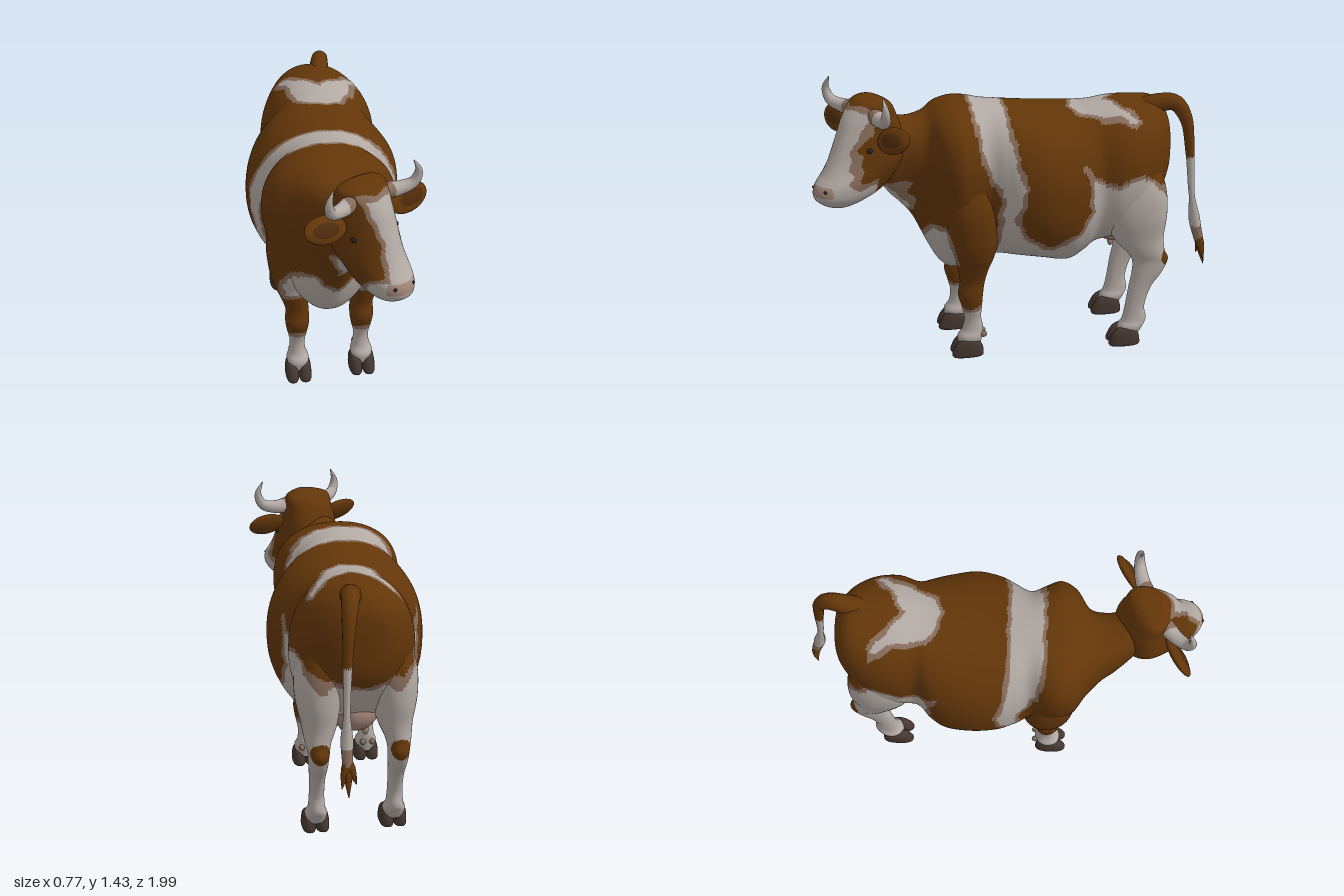
import * as THREE from 'three';

const material = (name, color) => Object.assign(new THREE.MeshStandardMaterial({ color }), { name });
const BROWN = 0, WHITE = 1, TAN = 2, PINK = 3, HOOF = 4, DARK = 5, EAR = 6;

// Catmull-Rom resampling of a table of cross-sections
function resample(rows, sub) {
  const out = [];
  for (let i = 0; i < rows.length - 1; i++) {
    const a = rows[Math.max(i - 1, 0)], b = rows[i], c = rows[i + 1], d = rows[Math.min(i + 2, rows.length - 1)];
    for (let k = 0; k < sub; k++) {
      const t = k / sub;
      out.push(b.map((v, n) => {
        const cubic = 3 * (v - c[n]) + d[n] - a[n];
        const square = 2 * a[n] - 5 * v + 4 * c[n] - d[n];
        return v + 0.5 * t * (c[n] - a[n] + t * (square + t * cubic));
      }));
    }
  }
  out.push(rows[rows.length - 1]);
  return out;
}

// Closed skin over rows [t, centreX, halfWidth, high, low], stacked along z or down y
function loft(rows, axis, { sub = 6, sides = 48, power = 2.2, narrow = () => 0 } = {}) {
  const rings = resample(rows, sub), pos = [], index = [];
  const cap = ([t, cx, , hi, lo]) => [t, cx, 0, (hi + lo) / 2, (hi + lo) / 2];
  rings.unshift(cap(rings[0]));
  rings.push(cap(rings[rings.length - 1]));
  const bend = v => Math.sign(v) * Math.abs(v) ** (2 / power);
  rings.forEach(([t, cx, hw, hi, lo], i) => {
    for (let j = 0; j < sides; j++) {
      const a = (j / sides) * Math.PI * 2, s = bend(Math.sin(a));
      const x = cx + hw * bend(Math.cos(a)) * (1 - narrow(t) * s), v = (hi + lo) / 2 + (hi - lo) / 2 * s;
      pos.push(x, ...(axis === 'z' ? [v, t] : [t, v]));
      if (i === 0) continue;
      const p = (i - 1) * sides, q = i * sides, n = (j + 1) % sides;
      index.push(p + j, p + n, q + j, p + n, q + n, q + j);
    }
  });
  const g = new THREE.BufferGeometry();
  g.setAttribute('position', new THREE.Float32BufferAttribute(pos, 3));
  g.setIndex(index);
  g.computeVertexNormals();
  return g;
}

// Tube whose radius follows a list
function taper(points, radii, segs = 40, sides = 14) {
  const curve = new THREE.CatmullRomCurve3(points.map(p => new THREE.Vector3(...p)));
  const g = new THREE.TubeGeometry(curve, segs, 1, sides), p = g.attributes.position, v = new THREE.Vector3();
  for (let i = 0; i < p.count; i++) {
    const u = Math.floor(i / (sides + 1)) / segs, f = u * (radii.length - 1), k = Math.min(Math.floor(f), radii.length - 2);
    const c = curve.getPointAt(u), r = THREE.MathUtils.lerp(radii[k], radii[k + 1], f - k);
    v.fromBufferAttribute(p, i).sub(c).multiplyScalar(r).add(c);
    p.setXYZ(i, v.x, v.y, v.z);
  }
  return g;
}

// Sorts the faces into material groups by a rule on their centres
function paint(g, rule) {
  const p = g.attributes.position, src = g.index.array, buckets = {};
  for (let i = 0; i < src.length; i += 3) {
    const f = [src[i], src[i + 1], src[i + 2]];
    const mid = get => (get(f[0]) + get(f[1]) + get(f[2])) / 3;
    const m = rule(mid(n => p.getX(n)), mid(n => p.getY(n)), mid(n => p.getZ(n)));
    (buckets[m] ??= []).push(...f);
  }
  const all = [];
  for (const m in buckets) {
    g.addGroup(all.length, buckets[m].length, +m);
    for (const n of buckets[m]) all.push(n);
  }
  g.setIndex(all);
  return g;
}

// Signed distance to a polygon, negative inside
function distance(poly, x, y) {
  let d = Infinity, inside = false;
  poly.forEach(([ax, ay], i) => {
    const [bx, by] = poly[(i + 1) % poly.length], ex = bx - ax, ey = by - ay;
    const t = THREE.MathUtils.clamp(((x - ax) * ex + (y - ay) * ey) / (ex * ex + ey * ey), 0, 1);
    d = Math.min(d, Math.hypot(x - ax - ex * t, y - ay - ey * t));
    if ((ay > y) !== (by > y) && x < ax + ex * (y - ay) / ey) inside = !inside;
  });
  return inside ? -d : d;
}

// White markings: side (z, y), rump (x, z), chest (x, y)
const sidePatch = [[.24, 1.4], [.21, 1.15], [.17, 1], [.1, .87], [.12, .72], [.13, 0], [-1, 0], [-1, .78], [-.78, .8],
  [-.72, .88], [-.6, .97], [-.48, .92], [-.4, .94], [-.29, 1.04], [-.33, .92], [-.33, .8], [-.27, .69], [-.15, .62],
  [-.05, .66], [.02, .76], [-.01, .85], [-.02, .95], [.02, 1.1], [.05, 1.4]];
const rumpPatch = [[-.2, -.62], [-.14, -.63], [-.04, -.53], [.03, -.47], [.1, -.51], [.22, -.61], [.25, -.57], [.19, -.41],
  [.12, -.29], [.05, -.26], [-.04, -.28], [-.12, -.35], [-.14, -.47]];
const chestPatch = [[-.27, .5], [-.29, .6], [-.23, .7], [-.11, .73], [-.07, .66], [0, .63], [.09, .7], [.2, .72], [.23, .62],
  [.21, .51], [.1, .5], [0, .35], [-.15, .5]];
const tone = d => (d > 0 ? BROWN : d > -.022 ? TAN : WHITE);
const wobble = (x, y, z) => .005 * Math.sin(47 * z + 31 * y) + .004 * Math.sin(71 * y - 53 * x);
const chest = (x, y, z) => (z > .3 ? distance(chestPatch, x, y) : 1);

function bodyCoat(x, y, z) {
  let d = Math.min(distance(sidePatch, z, y), chest(x, y, z));
  if (y > 1.1) d = Math.min(d, distance(rumpPatch, x, z));
  if (z > .1 && z < .45) d = Math.min(d, y - .58);
  if (z > .43) d = Math.min(d, Math.max(Math.abs(x - .015) - .035 - .35 * (y - .77), .76 - y, y - .93));
  return tone(d + wobble(x, y, z));
}
const frontLegCoat = (x, y, z) => tone(Math.min(y - .27, chest(x, y, z)) + wobble(x, y, z));
const hindLegCoat = (x, y, z) => (Math.hypot(y - .49, z + .775) < .055 ? BROWN : tone(distance(sidePatch, z, y) + wobble(x, y, z)));
function headCoat(x, y, z) {
  if (z > .2 && y > .935 && y < .985 && Math.abs(x) < .085) return PINK;
  const blaze = z > -.03 ? Math.max(Math.abs(x - .025) - .075 - .2 * Math.abs(y - 1.15), y - 1.34) : 1;
  const muzzle = y - Math.min(1.01, .89 + Math.max(0, z) * .7);
  return tone(Math.min(blaze, muzzle) + wobble(x, y, z));
}

export function createModel() {
  const mats = [material('brown coat', 0x633609), material('white coat', 0xb2a9a3), material('patch edge', 0x876c5b),
    material('pink skin', 0xa08477), material('hoof', 0x463730), material('dark eye', 0x25201f), material('inner ear', 0x4e2a0a)];
  const cow = new THREE.Group();
  cow.name = 'cow';
  const add = (parent, name, geo, mat) => {
    const m = new THREE.Mesh(geo, Array.isArray(mat) ? mat : mats[mat]);
    m.name = name;
    parent.add(m);
    return m;
  };
  const ball = (parent, name, mat, r, at, scale) => {
    const m = add(parent, name, new THREE.SphereGeometry(r, 24, 16), mat);
    m.position.set(...at);
    m.scale.set(...scale);
    return m;
  };

  // Trunk and neck, with a breast that narrows downwards
  const trunk = [[-.793, .01, .045, 1.1, .95], [-.78, .01, .12, 1.19, .86], [-.72, .015, .205, 1.265, .75], [-.62, .025, .275, 1.28, .62],
    [-.5, .025, .298, 1.28, .57], [-.4, .015, .285, 1.265, .54], [-.33, 0, .33, 1.255, .49], [-.25, -.005, .365, 1.255, .455],
    [-.12, -.005, .385, 1.26, .48], [0, -.015, .365, 1.27, .495], [.08, -.025, .325, 1.28, .5], [.15, -.03, .285, 1.29, .49],
    [.22, -.035, .295, 1.3, .46], [.3, -.03, .3, 1.3, .42], [.37, -.035, .265, 1.28, .46], [.43, -.04, .18, 1.245, .56],
    [.5, -.025, .14, 1.23, .71], [.56, -.01, .125, 1.235, .79], [.62, .02, .115, 1.25, .86], [.68, .045, .095, 1.24, .95]];
  const breast = z => -.35 * THREE.MathUtils.smoothstep(z, .1, .3);
  add(cow, 'trunk', paint(loft(trunk, 'z', { sub: 9, sides: 140, power: 2.25, narrow: breast }), bodyCoat), mats);

  // Legs: rows [y, outward shift, halfWidth, zFront, zBack]
  const front = [[1.1, -.04, .06, .32, .2], [.96, .0, .1, .355, .16], [.8, .025, .12, .38, .125], [.65, .025, .112, .37, .12],
    [.55, .025, .09, .34, .14], [.48, .015, .07, .325, .165], [.4, 0, .058, .31, .185], [.33, 0, .06, .32, .195],
    [.27, 0, .052, .305, .2], [.2, 0, .038, .29, .205], [.14, 0, .042, .3, .195], [.1, 0, .056, .325, .2], [.05, 0, .045, .32, .21]];
  const hind = [[1.12, -.06, .06, -.48, -.65], [.98, -.025, .1, -.44, -.705], [.85, -.01, .118, -.42, -.745], [.72, 0, .108, -.43, -.752],
    [.6, 0, .085, -.48, -.74], [.52, .01, .062, -.55, -.745], [.47, .01, .05, -.58, -.765], [.4, .01, .045, -.58, -.735],
    [.32, .01, .038, -.565, -.68], [.22, .01, .036, -.55, -.65], [.15, .01, .042, -.535, -.66], [.115, .01, .054, -.515, -.645],
    [.07, .01, .045, -.51, -.62]];
  const leg = (name, rows, coat, s, mid, off, dz, toe, ground) => {
    const placed = rows.map(([y, dx, hw, f, b]) => [y, mid + s * (off + dx), hw, f + dz, b + dz]);
    add(cow, name, paint(loft(placed, 'y', { sub: 8 }), coat), mats);
    const cx = placed[placed.length - 1][1];
    for (const c of [-1, 1]) {
      const x = cx + c * .032, y = ground, z = toe + dz;
      const claw = [[y + .092, x, .018, z - .06, z - .11], [y + .078, x, .028, z - .035, z - .14], [y + .05, x, .033, z - .015, z - .157],
        [y + .012, x, .034, z, z - .162], [y, x, .031, z - .005, z - .155]];
      add(cow, name + ' hoof', loft(claw, 'y', { sub: 3, sides: 20, power: 2.5 }), HOOF);
      ball(cow, name + ' dewclaw', TAN, .016, [cx + c * .025, y + .11, z - .162], [.9, 1, 1.2]);
    }
  };
  for (const s of [-1, 1]) {
    const side = s > 0 ? 'left ' : 'right ';
    leg(side + 'front leg', front, frontLegCoat, s, -.02, .165, s > 0 ? -.02 : 0, .36, 0);
    leg(side + 'hind leg', hind, hindLegCoat, s, .02, .18, 0, -.46, .02);
  }

  // Udder and teats
  ball(cow, 'udder', PINK, .12, [.02, .62, -.53], [1, .85, 1.05]);
  for (const x of [-.03, .07]) for (const z of [-.575, -.5]) ball(cow, 'teat', PINK, .015, [x, .528, z], [1, 1.8, 1]);

  // Tail with a split tuft
  const tail = taper([[.055, 1.21, -.62], [.07, 1.25, -.73], [.085, 1.25, -.81], [.1, 1.17, -.865], [.11, 1, -.89], [.115, .8, -.905],
    [.12, .62, -.93], [.12, .52, -.955]], [.06, .048, .038, .028, .023, .018, .015, .03, .024], 60);
  add(cow, 'tail', paint(tail, (x, y) => (y > .97 ? BROWN : y < .6 ? TAN : WHITE)), mats);
  for (const [x, y, z] of [[.08, .43, -.955], [.12, .38, -.985], [.15, .42, -.975]])
    add(cow, 'tail tuft', taper([[.12, .55, -.95], [(x + .12) / 2, .49, -.962], [x, y, z]], [.02, .022, .014, .002], 12, 8), BROWN);

  // Head, turned to its left
  const head = new THREE.Group();
  head.name = 'head';
  head.position.set(.1, 0, .77);
  head.rotation.y = .5;
  cow.add(head);
  const skull = [[1.37, 0, .06, -.02, -.12], [1.345, 0, .115, .02, -.155], [1.28, 0, .125, .07, -.19], [1.2, 0, .138, .105, -.215],
    [1.1, 0, .146, .15, -.22], [1.03, 0, .138, .19, -.21], [.97, 0, .122, .24, -.18], [.92, 0, .106, .245, -.11], [.885, 0, .08, .21, -.02],
    [.865, 0, .05, .17, .04]];
  const narrow = y => .3 * THREE.MathUtils.smoothstep(y, .96, 1.1);
  add(head, 'skull', paint(loft(skull, 'y', { sub: 9, sides: 100, narrow }), headCoat), mats);
  for (const s of [-1, 1]) {
    const side = s > 0 ? 'left ' : 'right ';
    const horn = taper([[s * .06, 1.305, -.05], [s * .16, 1.293, -.03], [s * .232, 1.315, -.005], [s * .252, 1.37, .005],
      [s * .225, 1.432, 0]], [.044, .037, .03, .02, .002]);
    add(head, side + 'horn', paint(horn, x => (Math.abs(x) < .13 ? TAN : WHITE)), mats);
    ball(head, side + 'ear', BROWN, .1, [s * .235, 1.213, -.045], [1.12, .66, .26]).rotation.set(-.5, 0, s * .15);
    ball(head, side + 'inner ear', EAR, .1, [s * .24, 1.219, -.032], [.75, .4, .16]).rotation.set(-.5, 0, s * .15);
    ball(head, side + 'eye', DARK, .018, [s * .119, 1.145, .01], [.7, .75, 1]);
    ball(head, side + 'nostril', DARK, .011, [s * .05, .965, .225], [1.1, .7, .6]);
  }
  return cow;
}
